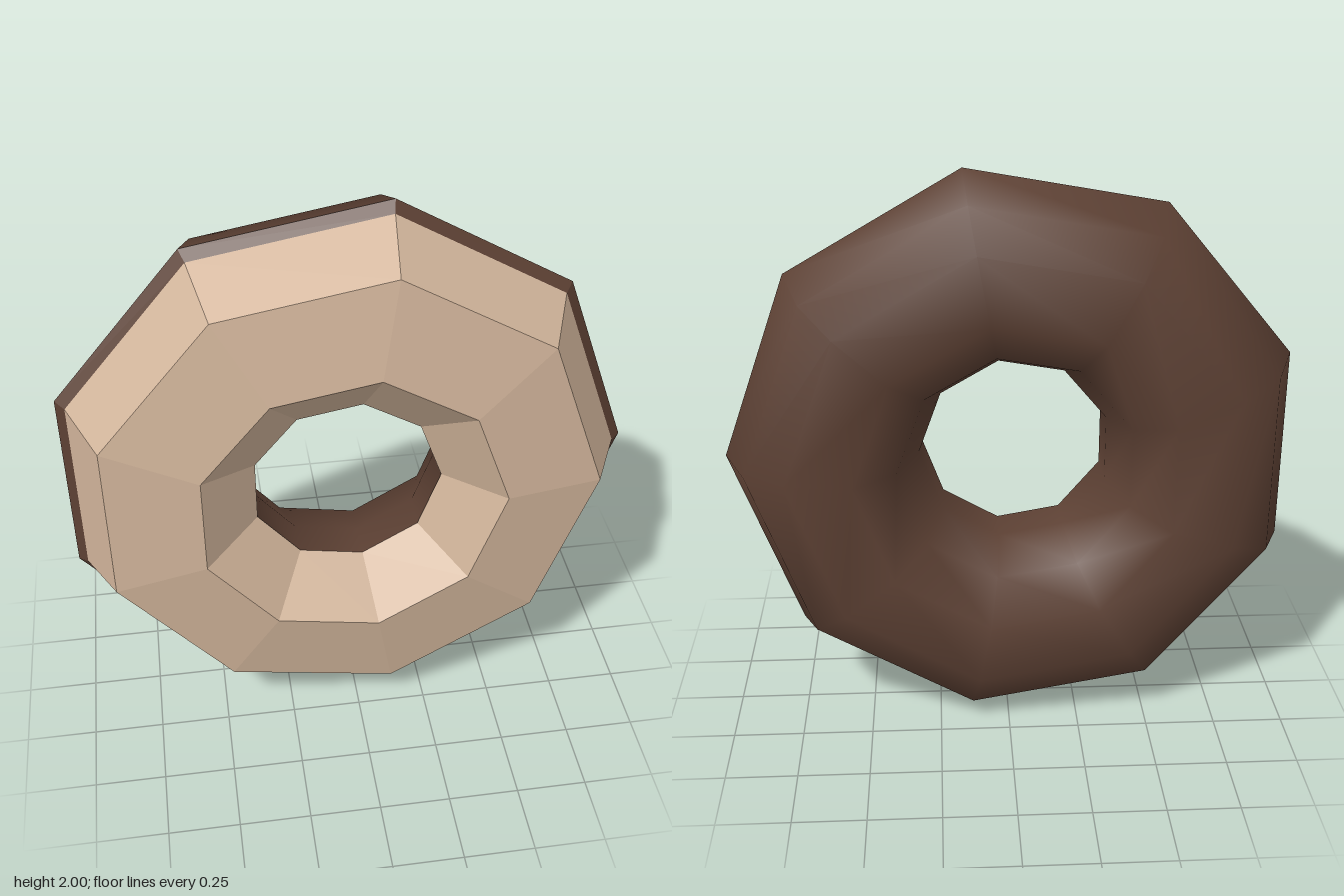
import * as THREE from 'three';

const SIDES = 9;
const OFFSET_X = -0.031; // centres the odd-sided ring on its bounds

// Revolves [radius, depth] points about the z axis, first corner on +x
function ring(name, profile, material, faceted) {
  const points = profile.map(([r, z]) => new THREE.Vector2(r, z));
  let geometry = new THREE.LatheGeometry(points, SIDES, Math.PI / 2);
  geometry.rotateX(Math.PI / 2);
  if (faceted) {
    geometry = geometry.toNonIndexed();
    geometry.computeVertexNormals();
  }
  const mesh = new THREE.Mesh(geometry, material);
  mesh.name = name;
  mesh.position.set(OFFSET_X, 1, 0);
  return mesh;
}

export function createModel() {
  const brown = new THREE.MeshStandardMaterial({ color: 0x5c4033 });
  brown.name = 'dark brown';
  const cream = new THREE.MeshStandardMaterial({ color: 0xd2b59b });
  cream.name = 'cream';

  const model = new THREE.Group();
  model.name = 'ring';
  model.add(
    // Smooth rounded back, from inside the hole round to the widest edge
    ring('roundedBack', [
      [0.335, 0.14], [0.34, 0], [0.415, -0.19], [0.56, -0.308],
      [0.79, -0.278], [0.934, -0.19], [1.0154, 0],
    ], brown, false),
    // Narrow bevel between back and front
    ring('rimBevel', [[1.0154, 0], [0.98, 0.034]], brown, true),
    // Faceted front: outer wall, broad face and sloping hole wall
    ring('facetedFront', [
      [0.98, 0.034], [0.872, 0.252], [0.535, 0.307], [0.333, 0.14],
    ], cream, true),
  );
  return model;
}
